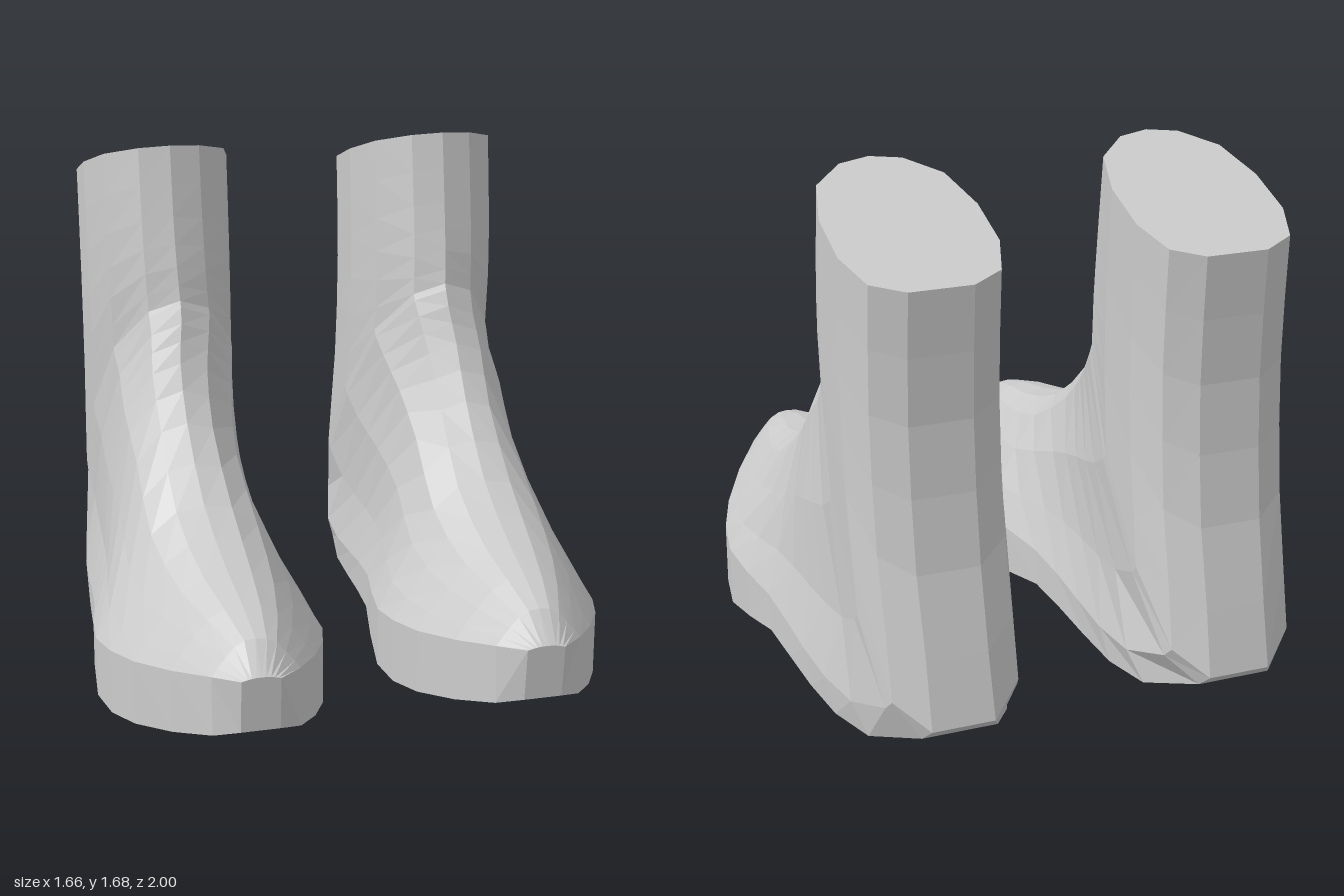
import * as THREE from 'three';

const { lerp } = THREE.MathUtils;

// Key cross-sections fanning from the toe, round the heel and up the shaft:
// sole z, sole y, top z, top y, centre x, sole half-width, foot-to-shaft blend
const KEYS = [
  [0.98, 0.16, 0.998, 0.34, 0.44, 0.06, 0],
  [0.93, 0.135, 0.92, 0.43, 0.44, 0.135, 0],
  [0.6, 0.035, 0.6, 0.51, 0.455, 0.3, 0],
  [0.3, 0, 0.3, 0.62, 0.468, 0.36, 0],
  [-0.05, 0.055, 0.07, 0.82, 0.475, 0.31, 0.25],
  [-0.4, 0.025, -0.04, 0.99, 0.473, 0.28, 0.65],
  [-0.78, 0.035, -0.09, 1.11, 0.458, 0.225, 0.9],
  [-0.965, 0.105, -0.11, 1.16, 0.455, 0.12, 1],
  [-1, 0.14, -0.12, 1.18, 0.455, 0.1, 1],
  [-0.89, 0.6, -0.14, 1.29, 0.46, 0.1, 1],
  [-0.842, 1.05, -0.17, 1.45, 0.463, 0.1, 1],
  [-0.857, 1.46, -0.205, 1.68, 0.463, 0.1, 1],
];
// Ring number of each key; the rings between are interpolated
const KEY_RINGS = [0, 1, 3, 5, 7, 9, 11, 12, 13, 15, 17, 19];
const LAST = 19;

// Upper profile: height above the wall, foot width ratio, shaft width ratio
const UPPER = [
  [0.22, 0.87, 1],
  [0.52, 0.68, 1],
  [0.8, 0.48, 0.82],
  [0.96, 0.25, 0.41],
];

// One closed ring: sole centre, up the outer side, crest, down the inner side
function makeRing([zb, yb, zt, yt, cx, edge, blend]) {
  const at = (w, u) => new THREE.Vector3(cx + w, lerp(yb, yt, u), lerp(zb, zt, u));
  // The wall rises toward the toe and melts into the rounded heel
  const wallY = 0.2 + 0.14 * Math.max(0, (zb - 0.3) / 0.7) ** 1.3;
  const wallU = lerp(Math.min(0.95, (wallY - yb) / (yt - yb)), 0.08, blend);
  const wall = lerp(edge, Math.max(edge, 0.15 + 0.5 * edge), blend);
  const upper = lerp(edge, 0.245, blend);
  const half = [[edge, 0], [wall, wallU]];
  for (const [f, foot, shaft] of UPPER) {
    half.push([upper * lerp(foot, shaft, blend), lerp(wallU, 1, f)]);
  }
  return [
    at(0, 0),
    ...half.map(([w, u]) => at(w, u)),
    at(0, 1),
    ...half.reverse().map(([w, u]) => at(-w, u)),
  ];
}

// Skin the rings and close both ends; side = 1 or -1 mirrors the boot
function makeBootGeometry(side) {
  const spline = new THREE.CubicInterpolant(KEY_RINGS, KEYS.flat(), KEYS[0].length);
  const rings = [];
  for (let i = 0; i <= LAST; i++) rings.push(makeRing(spline.evaluate(i)));

  const n = rings[0].length;
  const positions = [];
  const index = [];
  const add = (p) => positions.push(p.x * side, p.y, p.z);
  const tri = (a, b, c) => (side > 0 ? index.push(a, b, c) : index.push(a, c, b));

  rings.flat().forEach(add);
  for (let i = 0; i < LAST; i++) {
    for (let j = 0; j < n; j++) {
      const k = (j + 1) % n;
      const a = i * n + j, b = a + n, c = (i + 1) * n + k, d = c - n;
      tri(a, b, c);
      tri(a, c, d);
    }
  }

  // Toe tip and closed shaft opening
  const middle = (ring) => ring.reduce((s, p) => s.add(p), new THREE.Vector3()).divideScalar(n);
  const toe = rings.length * n;
  add(middle(rings[0]));
  add(middle(rings[LAST]));
  for (let j = 0; j < n; j++) {
    const k = (j + 1) % n;
    tri(toe, j, k);
    tri(toe + 1, LAST * n + k, LAST * n + j);
  }

  const geometry = new THREE.BufferGeometry();
  geometry.setAttribute('position', new THREE.Float32BufferAttribute(positions, 3));
  geometry.setIndex(index);
  geometry.computeVertexNormals();
  return geometry;
}

export function createModel() {
  const group = new THREE.Group();
  group.name = 'bootPair';
  const material = new THREE.MeshStandardMaterial({ color: 0xcccccc, flatShading: true });
  for (const [name, side] of [['leftBoot', 1], ['rightBoot', -1]]) {
    const boot = new THREE.Mesh(makeBootGeometry(side), material);
    boot.name = name;
    group.add(boot);
  }
  return group;
}
